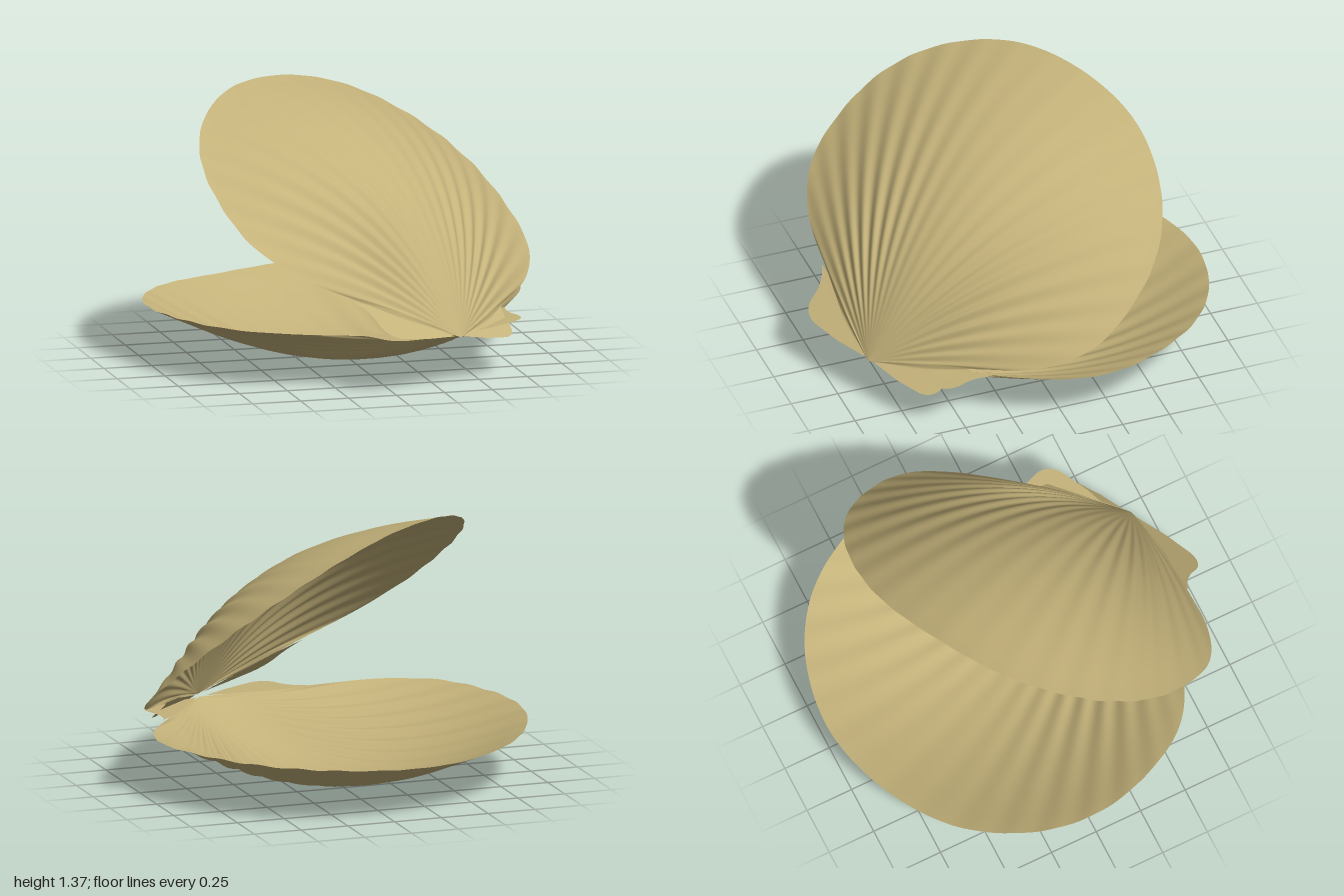
import * as THREE from 'three';

const material = new THREE.MeshStandardMaterial({ color: 0xc4b27a, side: THREE.DoubleSide });

// Half of the valve rim, from beside the beak to the far edge (u across, v away from the hinge)
const HALF_RIM = [
  [0.23, 0.09], [0.48, 0.255], [0.79, 0.46], [0.955, 0.69], [0.99, 0.97],
  [0.93, 1.28], [0.75, 1.55], [0.42, 1.77], [0, 1.84],
];
const MAX_ANGLE = Math.atan2(0.23, 0.09);
const RAYS = 200, STEPS = 48, RIBS = 22, DEPTH = 0.25;

// The sides of the rim bend towards the other valve
const droop = (u) => 0.052 * Math.pow(Math.abs(u), 1.4);

// Height of the ribbed dome at fraction s along a ray that ends at rim point (u, v)
function domeHeight(s, u, v) {
  const tau = Math.min(1, Math.max(-1, Math.atan2(u, v) / MAX_ANGLE));
  const dome = DEPTH * Math.pow(4 * s * (1 - s), 1.1) * Math.pow(1 - tau * tau, 1.6);
  const strength = 0.002 + 0.009 * Math.pow(Math.sin(Math.PI * Math.abs(tau)), 2);
  const fade = THREE.MathUtils.smoothstep(s, 0.05, 0.45) * (1.3 - s);
  return dome + strength * fade * Math.cos(RIBS * Math.PI * tau) - droop(s * u);
}

// Fan of rays from the beak to the rim
function valveGeometry(length) {
  const mirrored = HALF_RIM.slice(0, -1).reverse().map(([u, v]) => [-u, v]);
  const curve = new THREE.CatmullRomCurve3(
    [...HALF_RIM, ...mirrored].map(([u, v]) => new THREE.Vector3(u, v * length, 0)));
  const rim = curve.getSpacedPoints(RAYS);
  const positions = [], index = [];
  rim.forEach((p, i) => {
    for (let j = 0; j <= STEPS; j++) {
      const s = (j / STEPS) ** 1.3;
      positions.push(p.x * s, p.y * s, domeHeight(s, p.x, p.y));
      if (i < RAYS && j < STEPS) {
        const a = i * (STEPS + 1) + j, b = a + STEPS + 1;
        index.push(a, a + 1, b + 1);
        if (j > 0) index.push(a, b + 1, b);
      }
    }
  });
  const geometry = new THREE.BufferGeometry();
  geometry.setAttribute('position', new THREE.Float32BufferAttribute(positions, 3));
  geometry.setIndex(index);
  geometry.computeVertexNormals();
  return geometry;
}

// Flat wing beside the beak, reaching out to u = reach (negative for the other side)
function earGeometry(reach) {
  const shape = new THREE.Shape();
  shape.moveTo(reach * 0.07, 0.01);
  shape.lineTo(reach * 0.45, 0);
  shape.lineTo(reach * 0.8, 0.01);
  shape.quadraticCurveTo(reach, 0.03, reach, 0.12);
  shape.quadraticCurveTo(reach, 0.21, reach * 1.15, 0.28);
  shape.lineTo(reach * 0.8, 0.22);
  shape.lineTo(reach * 0.4, 0.1);
  shape.closePath();
  const geometry = new THREE.ShapeGeometry(shape, 8);
  const pos = geometry.attributes.position;
  for (let i = 0; i < pos.count; i++) pos.setZ(i, -0.003 - droop(pos.getX(i)));
  geometry.computeVertexNormals();
  return geometry;
}

// One valve with its two ears, placed by its beak, hinge direction and axis
function makeValve(name, length, earReach, beak, hinge, axis) {
  const group = new THREE.Group();
  group.name = name;
  const add = (part, geometry) => {
    const mesh = new THREE.Mesh(geometry, material);
    mesh.name = part;
    group.add(mesh);
  };
  add(name + 'Shell', valveGeometry(length));
  add(name + 'EarA', earGeometry(earReach[0]));
  add(name + 'EarB', earGeometry(-earReach[1]));

  const a = new THREE.Vector3(...axis).normalize();
  const h = new THREE.Vector3(...hinge);
  h.addScaledVector(a, -h.dot(a)).normalize();
  const out = new THREE.Vector3().crossVectors(h, a);
  group.quaternion.setFromRotationMatrix(new THREE.Matrix4().makeBasis(h, a, out));
  group.position.set(...beak);
  return group;
}

export function createModel() {
  const model = new THREE.Group();
  model.name = 'openScallop';
  model.add(
    makeValve('lowerValve', 1.025, [0.43, 0.46], [0.385, 0.25, 0.82], [-0.907, 0, 0.42], [-0.42, 0, -0.907]),
    makeValve('upperValve', 0.99, [0.42, 0.48], [0.37, 0.25, 0.88], [0.884, -0.157, -0.44], [-0.296, 0.603, -0.741]),
  );
  return model;
}
